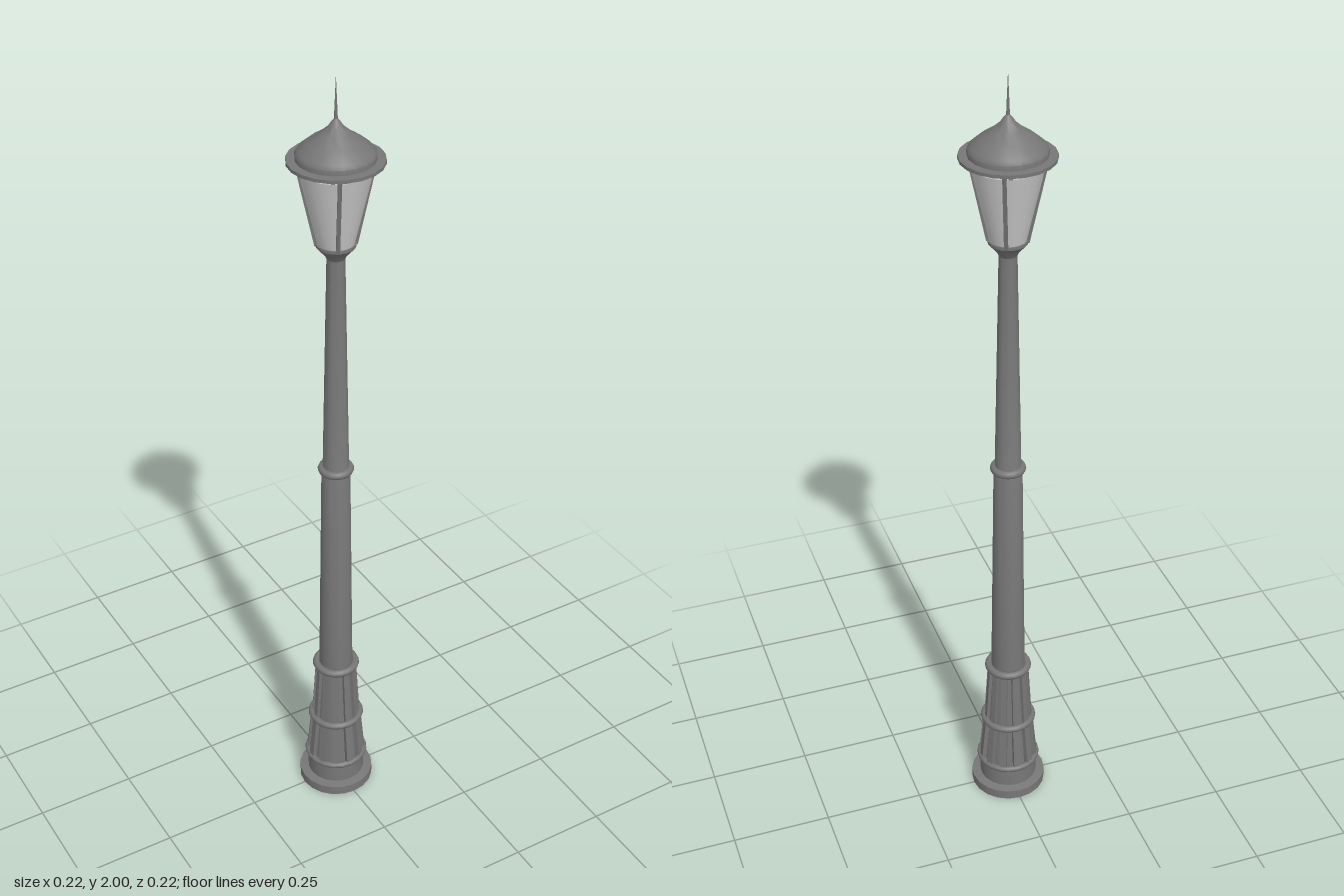
import * as THREE from 'three';
import { toCreasedNormals } from 'three/addons/utils/BufferGeometryUtils.js';

const SIDES = 20;

export function createModel() {
  const lamp = new THREE.Group();
  lamp.name = 'streetLamp';
  const iron = new THREE.MeshStandardMaterial({ color: 0x777777 });
  const glass = new THREE.MeshStandardMaterial({ color: 0xcccccc, side: THREE.DoubleSide });

  function add(name, geometry, material = iron, parent = lamp) {
    const mesh = new THREE.Mesh(geometry, material);
    mesh.name = name;
    parent.add(mesh);
    return mesh;
  }

  // Turned part from [radius, height] pairs, listed bottom to top
  function turned(name, profile, material) {
    const points = profile.map(([r, y]) => new THREE.Vector2(r, y));
    return add(name, toCreasedNormals(new THREE.LatheGeometry(points, SIDES), 0.6), material);
  }

  // Rounded moulding around the post
  function collar(name, radius, y, tube) {
    const ring = add(name, new THREE.TorusGeometry(radius - tube, tube, 8, SIDES));
    ring.rotation.x = Math.PI / 2;
    ring.position.y = y;
  }

  // Sloping bars spread evenly around the axis
  function bars(name, count, [r0, y0], [r1, y1], width, depth, offset = 0) {
    const group = new THREE.Group();
    group.name = name;
    lamp.add(group);
    const length = Math.hypot(r1 - r0, y1 - y0);
    for (let i = 0; i < count; i++) {
      const arm = new THREE.Group();
      arm.rotation.y = offset + (i / count) * Math.PI * 2;
      const bar = add(name + 'Bar', new THREE.BoxGeometry(width, length, depth), iron, arm);
      bar.position.set(0, (y0 + y1) / 2, (r0 + r1) / 2);
      bar.rotation.x = Math.atan2(r1 - r0, y1 - y0);
      group.add(arm);
    }
  }

  // Plinth and drum
  turned('plinth', [[0, 0], [0.096, 0], [0.096, 0.025], [0.074, 0.028], [0.073, 0.085], [0, 0.085]]);
  collar('lowerCollar', 0.082, 0.085, 0.008);

  // Fluted pedestal: core with ribs in two tiers
  turned('pedestalCore', [[0.066, 0.08], [0.055, 0.215], [0.044, 0.385], [0, 0.39]]);
  bars('lowerRibs', 12, [0.07, 0.085], [0.058, 0.215], 0.018, 0.012);
  bars('upperRibs', 12, [0.056, 0.215], [0.046, 0.38], 0.014, 0.012);
  collar('middleCollar', 0.072, 0.215, 0.009);
  collar('upperCollar', 0.06, 0.385, 0.01);

  // Tapering post
  turned('post', [[0.043, 0.38], [0.035, 0.99], [0.032, 1.0], [0.021, 1.58]]);
  collar('postCollar', 0.044, 0.995, 0.01);

  // Lantern cup, glass and frame
  turned('lanternCup', [[0.021, 1.565], [0.026, 1.575], [0.046, 1.598], [0.046, 1.605], [0, 1.605]]);
  turned('lanternGlass', [[0.042, 1.603], [0.084, 1.785]], glass);
  bars('lanternFrame', 4, [0.044, 1.6], [0.087, 1.803], 0.009, 0.009, -0.43);

  // Brim, roof and spike
  turned('brim', [[0, 1.8], [0.11, 1.8], [0.11, 1.808], [0, 1.81]]);
  turned('roof', [
    [0.09, 1.805], [0.09, 1.82], [0.084, 1.829], [0.06, 1.849], [0.035, 1.866],
    [0.018, 1.881], [0.01, 1.893], [0.004, 1.9], [0, 1.901],
  ]);
  const spike = add('spike', new THREE.ConeGeometry(0.005, 0.115, 8));
  spike.position.y = 1.9425;

  return lamp;
}
